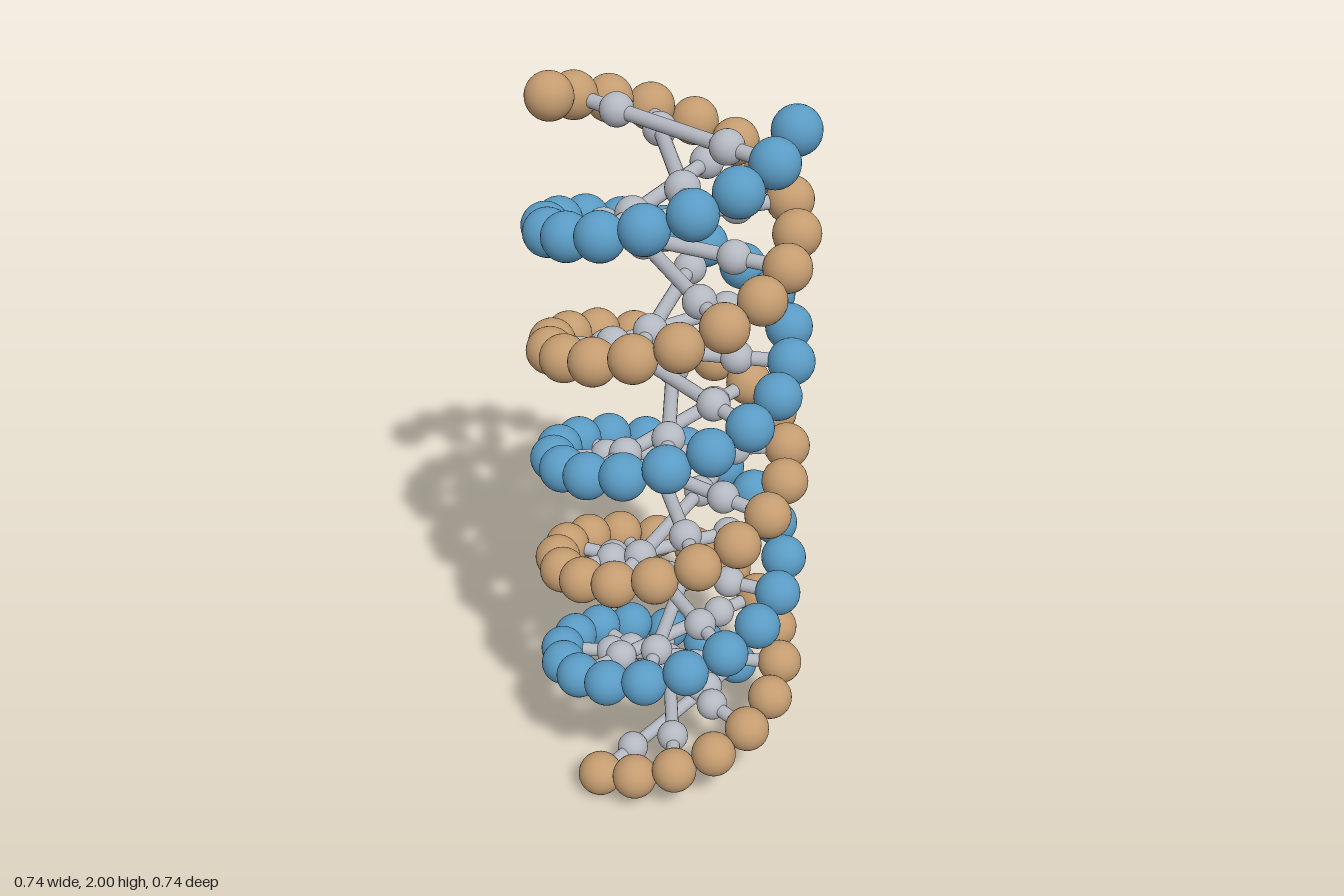
import * as THREE from 'three';

const COUNT = 50;            // beads per strand
const TWIST = 0.36;          // radians between beads
const RADIUS = 0.308;        // helix radius
const BEAD = 0.061;
const RISE = (2 - 2 * BEAD) / (COUNT - 1);

const helixPoint = (i, phase, radius) => {
  const a = i * TWIST + phase;
  return new THREE.Vector3(Math.cos(a) * radius, BEAD + i * RISE, -Math.sin(a) * radius);
};

export function createModel() {
  const blue = new THREE.MeshStandardMaterial({ name: 'strandBlue', color: 0x5a9bc4 });
  const tan = new THREE.MeshStandardMaterial({ name: 'strandTan', color: 0xc49c70 });
  const grey = new THREE.MeshStandardMaterial({ name: 'rungGrey', color: 0xb4b8c0 });

  const beadGeo = new THREE.SphereGeometry(BEAD, 28, 18);
  const knobGeo = new THREE.SphereGeometry(0.043, 24, 16);
  const rodGeo = new THREE.CylinderGeometry(0.0185, 0.0185, RADIUS * 2, 16);
  rodGeo.rotateZ(Math.PI / 2);

  const model = new THREE.Group();
  model.name = 'doubleHelix';

  const addBall = (parent, name, geo, mat, position) => {
    const ball = new THREE.Mesh(geo, mat);
    ball.name = name;
    ball.position.copy(position);
    parent.add(ball);
  };

  // Two opposite strands of beads
  for (const [name, mat, phase] of [['blueStrand', blue, 0], ['tanStrand', tan, Math.PI]]) {
    const strand = new THREE.Group();
    strand.name = name;
    for (let i = 0; i < COUNT; i++) {
      addBall(strand, 'strandBead', beadGeo, mat, helixPoint(i, phase, RADIUS));
    }
    model.add(strand);
  }

  // A rung at every second bead: a rod with two knobs
  for (let i = 0; i < COUNT; i += 2) {
    const rung = new THREE.Group();
    rung.name = 'rung';
    const rod = new THREE.Mesh(rodGeo, grey);
    rod.name = 'rungRod';
    rung.add(rod);
    for (const side of [-1, 1]) {
      addBall(rung, 'rungKnob', knobGeo, grey, new THREE.Vector3(side * 0.169, 0, 0));
    }
    rung.position.y = BEAD + i * RISE;
    rung.rotation.y = i * TWIST;
    model.add(rung);
  }

  return model;
}
